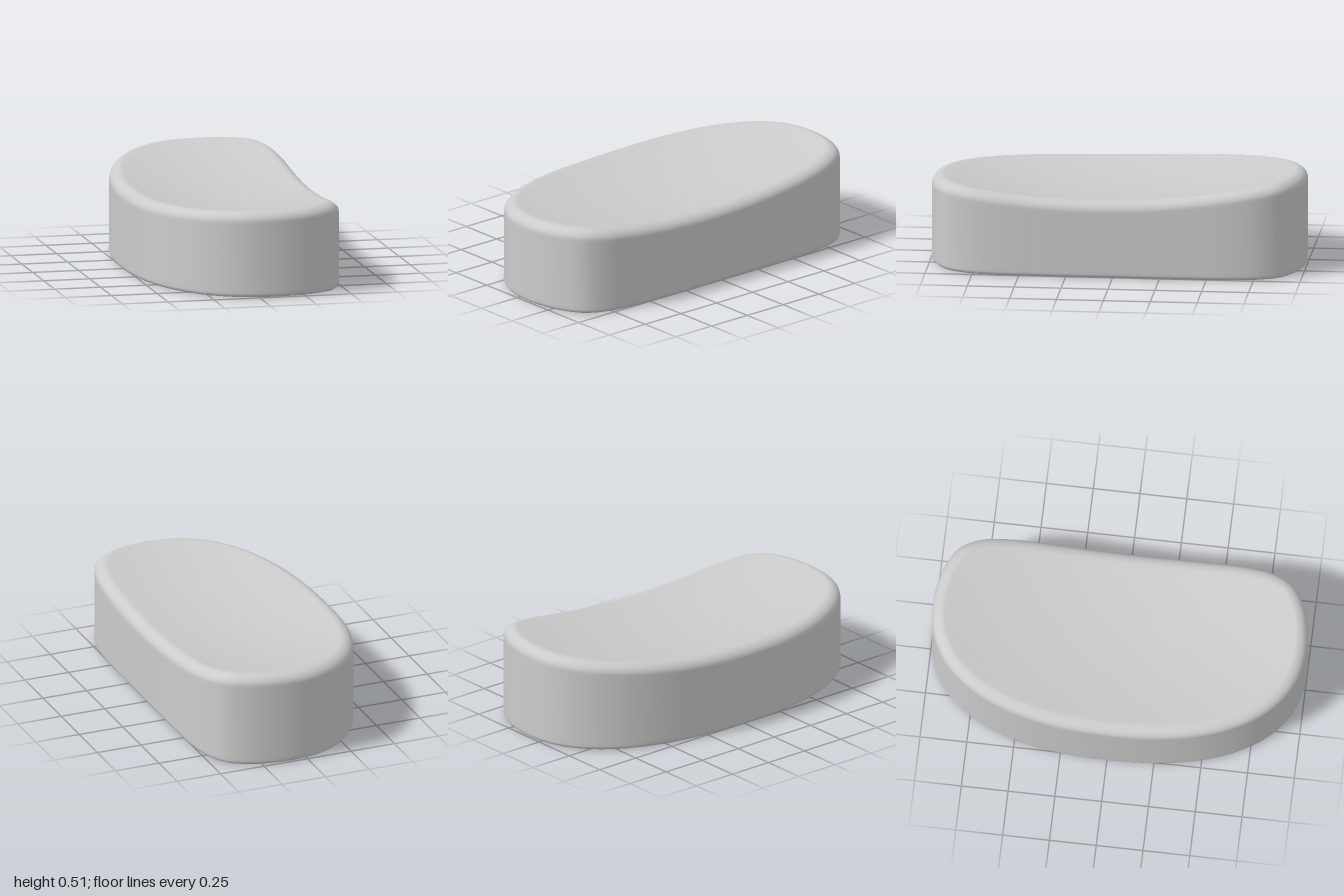
import * as THREE from 'three';

const SEG = 200;

// Dished top: a shallow bowl that tilts up towards the back
function topHeight(x, z) {
  return 0.388 + 0.18 * x * x - 0.025 * x + (0.11 + 0.02 * x) * z * z - 0.025 * z;
}

// D-shaped plan: superellipse on the bulging side, tight corners on the
// straight side, one half mirrored across z = 0
function makeOutline() {
  const half = [];
  for (let i = 1; i <= 10; i++) {
    const a = (i / 10) * Math.PI / 2;
    half.push([
      0.09 - 0.61 * Math.max(Math.cos(a), 0) ** (2 / 2.3),
      Math.sin(a) ** (2 / 2.3),
    ]);
  }
  half.push([0.2, 0.99], [0.31, 0.96], [0.42, 0.893], [0.482, 0.78],
    [0.51, 0.62], [0.517, 0.4]);
  const mirrored = half.slice().reverse().map(([x, z]) => [x, -z]);
  const pts = [[-0.52, 0], ...half, [0.518, 0], ...mirrored];
  const curve = new THREE.CatmullRomCurve3(
    pts.map(([x, z]) => new THREE.Vector3(x, 0, z)), true, 'centripetal');
  curve.arcLengthDivisions = 1000;
  const outline = [];
  for (let i = 0; i < SEG; i++) {
    const p = curve.getPointAt(i / SEG);
    const t = curve.getTangentAt(i / SEG);
    outline.push({ x: p.x, z: p.z, nx: -t.z, nz: t.x });
  }
  return outline;
}

// Skin a list of rings; each ring maps an outline point to a position
function skin(outline, rings) {
  const pos = [];
  const index = [];
  for (const ring of rings) for (const p of outline) pos.push(...ring(p));
  for (let r = 0; r < rings.length - 1; r++) {
    for (let j = 0; j < SEG; j++) {
      const k = (j + 1) % SEG;
      const a = r * SEG + j, b = r * SEG + k, c = a + SEG, d = b + SEG;
      index.push(a, b, c, b, d, c);
    }
  }
  const geo = new THREE.BufferGeometry();
  geo.setAttribute('position', new THREE.Float32BufferAttribute(pos, 3));
  geo.setIndex(index);
  geo.computeVertexNormals();
  return geo;
}

export function createModel() {
  const group = new THREE.Group();
  const material = new THREE.MeshStandardMaterial({ color: 0xcccccc });
  const outline = makeOutline();
  const centre = { x: 0.05, z: 0 };
  const bevel = 0.02, roundIn = 0.065, roundDown = 0.055;
  const inset = (p, d) => [p.x - p.nx * d, p.z - p.nz * d];
  const at = (p, d, y) => {
    const [x, z] = inset(p, d);
    return [x, y, z];
  };
  const rimHeight = (p) => topHeight(...inset(p, roundIn));

  const rings = [];
  // small rounded bottom edge
  for (let i = 0; i <= 4; i++) {
    const a = (i / 4) * Math.PI / 2;
    rings.push((p) => at(p, bevel * (1 - Math.sin(a)), bevel * (1 - Math.cos(a))));
  }
  // straight wall
  for (const f of [0.04, 0.5, 0.96]) {
    rings.push((p) => at(p, 0, bevel + (rimHeight(p) - roundDown - bevel) * f));
  }
  // rounded top rim
  for (let i = 0; i <= 10; i++) {
    const a = (i / 10) * Math.PI / 2;
    rings.push((p) => at(p, roundIn * (1 - Math.cos(a)),
      rimHeight(p) - roundDown * (1 - Math.sin(a))));
  }
  // dished top surface, closing on the centre
  for (let i = 1; i <= 20; i++) {
    const f = 1 - i / 20;
    rings.push((p) => {
      const [ix, iz] = inset(p, roundIn);
      const x = centre.x + (ix - centre.x) * f;
      const z = centre.z + (iz - centre.z) * f;
      return [x, topHeight(x, z), z];
    });
  }
  const body = new THREE.Mesh(skin(outline, rings), material);
  body.name = 'body';

  // flat underside
  const base = new THREE.Mesh(skin(outline, [
    () => [centre.x, 0, centre.z],
    (p) => at(p, bevel, 0),
  ]), material);
  base.name = 'underside';

  group.add(body, base);
  return group;
}
